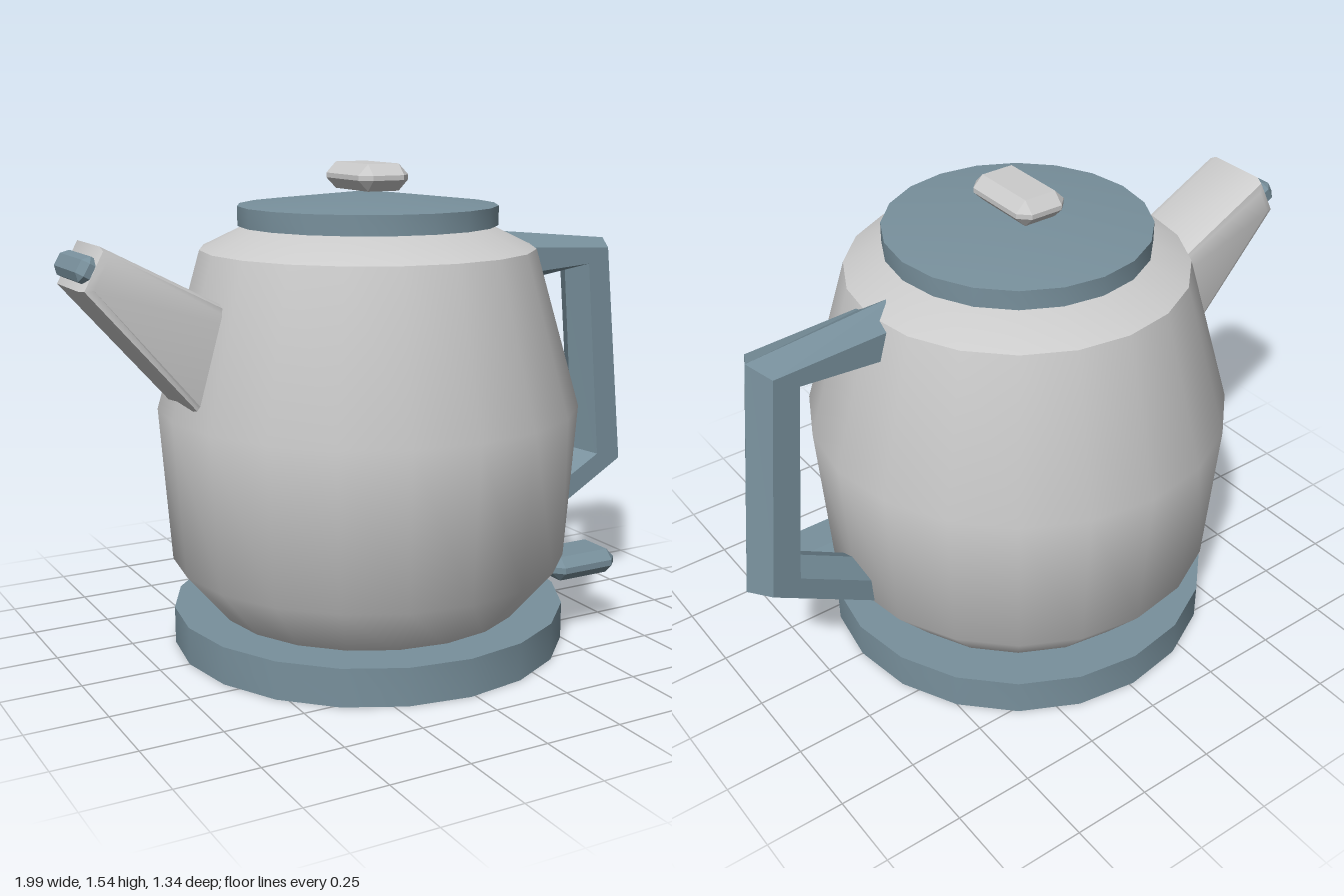
import * as THREE from 'three';
import { toCreasedNormals } from 'three/addons/utils/BufferGeometryUtils.js';
import { ConvexGeometry } from 'three/addons/geometries/ConvexGeometry.js';

const AXIS_X = -0.015;
const shell = new THREE.MeshStandardMaterial({ color: 0xcccccc });
const trim = new THREE.MeshStandardMaterial({ color: 0x78909c });

const vec2 = (points) => points.map(([x, y]) => new THREE.Vector2(x, y));

// Twenty-sided turned part, smooth around but sharp at strong profile corners
function turned(points) {
  return toCreasedNormals(new THREE.LatheGeometry(vec2(points), 20), 0.82).translate(AXIS_X, 0, 0);
}

// Box with every edge chamfered by b
function chamferedBox(w, h, d, b) {
  const points = [];
  for (const x of [-1, 1]) for (const y of [-1, 1]) for (const z of [-1, 1]) {
    for (let axis = 0; axis < 3; axis++) {
      const half = [w / 2, h / 2, d / 2].map((v, i) => (i === axis ? v : v - b));
      points.push(new THREE.Vector3(x * half[0], y * half[1], z * half[2]));
    }
  }
  return new ConvexGeometry(points);
}

// Six-sided bar swept between matching outer and inner ridge lines
function hexBar(outer, inner, halfWidth) {
  const ring = [[0, 0], [0.25, 1], [0.75, 1], [1, 0], [0.75, -1], [0.25, -1]];
  const position = [];
  const index = [];
  outer.forEach(([ox, oy], i) => {
    const [ix, iy] = inner[i];
    for (const [t, side] of ring) {
      position.push(ox + (ix - ox) * t, oy + (iy - oy) * t, side * halfWidth);
    }
    if (i === 0) return;
    for (let k = 0; k < 6; k++) {
      const a = (i - 1) * 6 + k;
      const b = (i - 1) * 6 + ((k + 1) % 6);
      index.push(a, b, a + 6, b, b + 6, a + 6);
    }
  });
  // end caps
  const last = (outer.length - 1) * 6;
  for (let k = 1; k < 5; k++) {
    index.push(0, k + 1, k, last, last + k, last + k + 1);
  }
  const geometry = new THREE.BufferGeometry();
  geometry.setAttribute('position', new THREE.Float32BufferAttribute(position, 3));
  geometry.setIndex(index);
  return toCreasedNormals(geometry, 0.1);
}

export function createModel() {
  const group = new THREE.Group();
  const add = (name, geometry, material, x = 0, y = 0, z = 0) => {
    const mesh = new THREE.Mesh(geometry, material);
    mesh.name = name;
    mesh.position.set(x, y, z);
    group.add(mesh);
  };

  // Stand, vessel and lid
  add('base', turned([[0, 0], [0.637, 0], [0.637, 0.12], [0, 0.12]]), trim);
  add('body', turned([[0, 0.11], [0.49, 0.11], [0.637, 0.285], [0.672, 0.78], [0.53, 1.275], [0.375, 1.35], [0, 1.35]]), shell);
  add('lid', turned([[0, 1.347], [0.41, 1.347], [0.41, 1.408], [0, 1.452]]), trim);
  add('knob', chamferedBox(0.175, 0.083, 0.28, 0.034), shell, -0.018, 1.496, 0);

  // Wedge spout with softened edges
  const bevel = 0.03;
  const wedge = new THREE.Shape(vec2([[-0.953, 1.212], [-0.45, 0.618], [-0.45, 1.049], [-0.911, 1.291]]));
  const spout = new THREE.ExtrudeGeometry(wedge, {
    depth: 0.26 - 2 * bevel, bevelEnabled: true, bevelSize: bevel, bevelThickness: bevel, bevelSegments: 2,
  });
  add('spout', toCreasedNormals(spout.translate(0, 0, -0.13 + bevel), 0.6), shell);
  const lip = chamferedBox(0.06, 0.08, 0.24, 0.02).rotateZ(-0.52);
  add('spoutLip', lip, trim, -0.96, 1.265, 0);

  // Angular handle
  const outer = [[0.4, 1.31], [0.912, 1.26], [0.998, 0.475], [0.5, 0.185]];
  const inner = [[0.4, 1.105], [0.755, 1.158], [0.808, 0.525], [0.43, 0.315]];
  add('handle', hexBar(outer, inner, 0.083), trim);

  // Small lever low on the handle side
  add('lever', chamferedBox(0.245, 0.08, 0.175, 0.03), trim, 0.585, 0.236, 0.318);

  return group;
}
